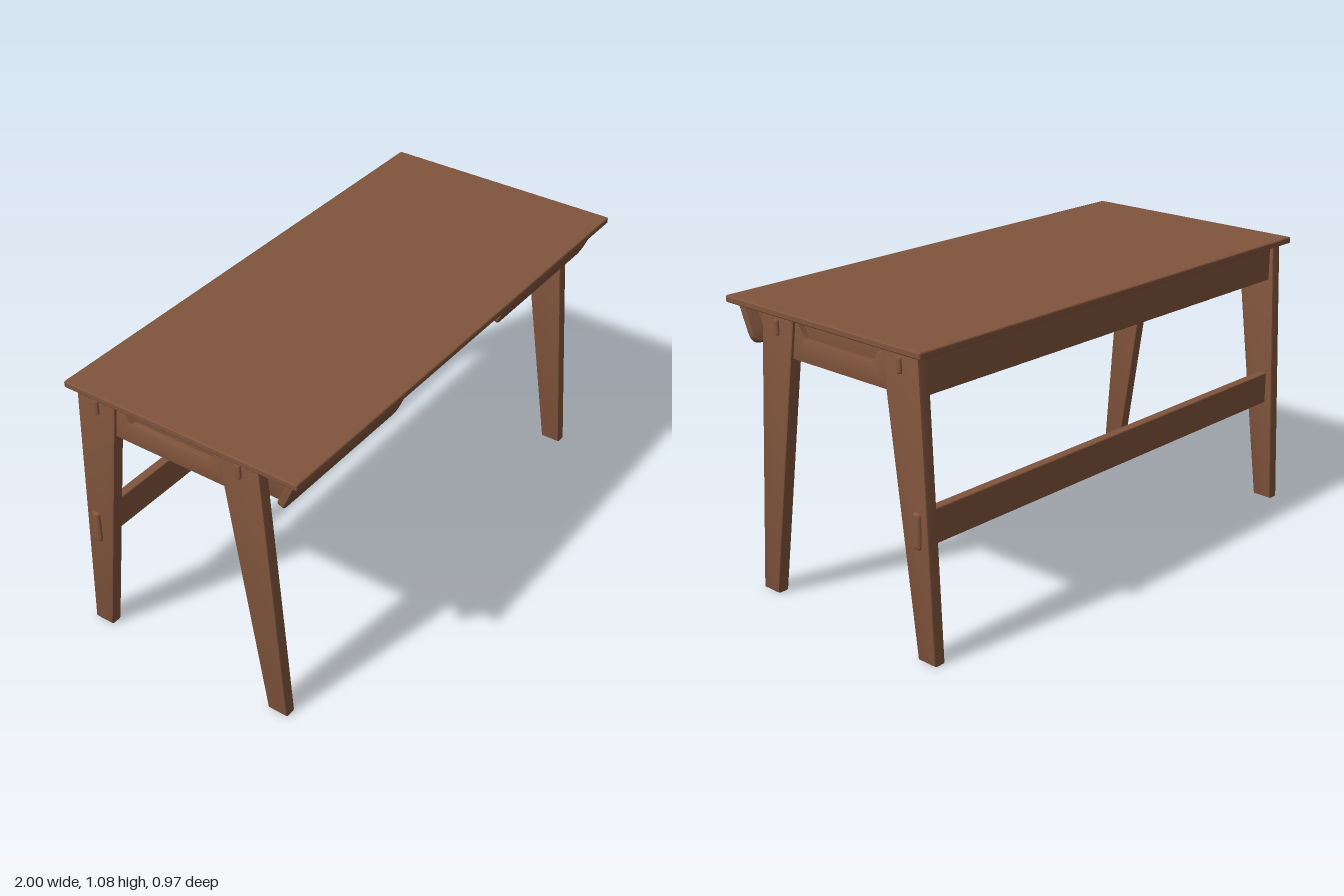
import * as THREE from 'three';
import { RoundedBoxGeometry } from 'three/addons/geometries/RoundedBoxGeometry.js';
import { toCreasedNormals } from 'three/addons/utils/BufferGeometryUtils.js';

const wood = new THREE.MeshStandardMaterial({ color: 0x80543c });
wood.name = 'walnut wood';

function addMesh(parent, name, geometry) {
  const mesh = new THREE.Mesh(geometry, wood);
  mesh.name = name;
  parent.add(mesh);
  return mesh;
}

// Softly rounded board given by its limits on each axis
function board(x0, x1, y0, y1, z0, z1, radius = 0.005) {
  const g = new RoundedBoxGeometry(x1 - x0, y1 - y0, z1 - z0, 2, radius);
  return g.translate((x0 + x1) / 2, (y0 + y1) / 2, (z0 + z1) / 2);
}

// Extrude a shape, centred on z, with its rounded edge kept inside the outline
function slab(shape, thickness, bevel) {
  const depth = thickness - 2 * bevel;
  const g = new THREE.ExtrudeGeometry(shape, {
    depth, bevelEnabled: true, bevelThickness: bevel, bevelSize: bevel,
    bevelOffset: -bevel, bevelSegments: 2, curveSegments: 6,
  });
  return toCreasedNormals(g.translate(0, 0, -depth / 2), 0.6);
}

// Upright plate from a [z, y] outline, spanning x0 to x1
function sidePlate(points, x0, x1, bevel = 0.004) {
  const shape = new THREE.Shape(points.map(([z, y]) => new THREE.Vector2(z, y)));
  return slab(shape, x1 - x0, bevel).rotateY(-Math.PI / 2).translate((x0 + x1) / 2, 0, 0);
}

// Drawer front outline with rounded lower corners, hanging from y = 0
function drawerFrontShape(w, h, r) {
  const s = new THREE.Shape();
  s.moveTo(-w / 2, 0);
  s.lineTo(-w / 2, -h + r);
  s.quadraticCurveTo(-w / 2, -h, -w / 2 + r, -h);
  s.lineTo(w / 2 - r, -h);
  s.quadraticCurveTo(w / 2, -h, w / 2, -h + r);
  s.lineTo(w / 2, 0);
  s.closePath();
  return s;
}

const frontLegOutline = [[0.315, 0], [0.395, 0], [0.317, 1.057], [0.153, 1.057]];
const backLegOutline = [[-0.485, 0], [-0.405, 0], [-0.27, 1.057], [-0.438, 1.057]];
// Side rail with a shallow trapezoid opening along its upper edge
const sideRailOutline = [
  [-0.3, 0.91], [0.19, 0.91], [0.19, 1.05], [0.15, 1.05], [0.135, 1.025], [0.118, 0.998],
  [0.105, 0.99], [-0.215, 0.99], [-0.225, 0.997], [-0.245, 1.028], [-0.255, 1.034], [-0.3, 1.034],
];
const drawerSideOutline = [[-0.35, 0.915], [0.36, 0.915], [0.42, 1.056], [-0.35, 1.056]];

// Legs, rail and joints of one end; side is +1 or -1
function buildEnd(side) {
  const end = new THREE.Group();
  end.name = side > 0 ? 'leftEnd' : 'rightEnd';
  const span = (a, b) => (side > 0 ? [a, b] : [-b, -a]);
  addMesh(end, 'frontLeg', sidePlate(frontLegOutline, ...span(0.93, 0.977), 0.007));
  addMesh(end, 'backLeg', sidePlate(backLegOutline, ...span(0.93, 0.977), 0.007));
  addMesh(end, 'sideRail', sidePlate(sideRailOutline, ...span(0.942, 0.967)));
  for (const z of [0.24, -0.355]) {
    addMesh(end, 'railPeg', board(...span(0.95, 0.985), 0.982, 1.04, z - 0.011, z + 0.011, 0.008));
  }
  return end;
}

// Open drawer box with a raked front
function buildDrawer(side) {
  const drawer = new THREE.Group();
  drawer.name = side > 0 ? 'leftDrawer' : 'rightDrawer';
  const span = (a, b) => (side > 0 ? [a, b] : [-b, -a]);
  addMesh(drawer, 'drawerInnerSide', sidePlate(drawerSideOutline, ...span(0.325, 0.345)));
  addMesh(drawer, 'drawerOuterSide', sidePlate(drawerSideOutline, ...span(0.905, 0.925)));
  addMesh(drawer, 'drawerBack', board(...span(0.33, 0.92), 0.915, 1.056, -0.35, -0.33));
  addMesh(drawer, 'drawerBottom', board(...span(0.335, 0.915), 0.928, 0.94, -0.34, 0.375, 0.003));
  const front = slab(drawerFrontShape(0.648, 0.158, 0.04), 0.028, 0.004);
  front.translate(0, 0, -0.014).rotateX(0.42).translate(side * 0.644, 1.057, 0.46);
  addMesh(drawer, 'drawerFront', front);
  return drawer;
}

export function createModel() {
  const desk = new THREE.Group();
  desk.name = 'writingDesk';

  addMesh(desk, 'tabletop', board(-1, 1, 1.055, 1.08, -0.472, 0.485, 0.006));
  addMesh(desk, 'backRail', board(-0.94, 0.94, 0.912, 1.057, -0.425, -0.395));
  // Stretcher passes through the back legs and shows at both ends
  addMesh(desk, 'stretcher', board(-0.935, 0.935, 0.405, 0.53, -0.436, -0.4));
  for (const side of [1, -1]) {
    const tenon = new RoundedBoxGeometry(0.06, 0.13, 0.036, 3, 0.012);
    addMesh(desk, 'stretcherTenon', tenon.translate(side * 0.957, 0.467, -0.418));
    desk.add(buildEnd(side), buildDrawer(side));
  }
  return desk;
}
